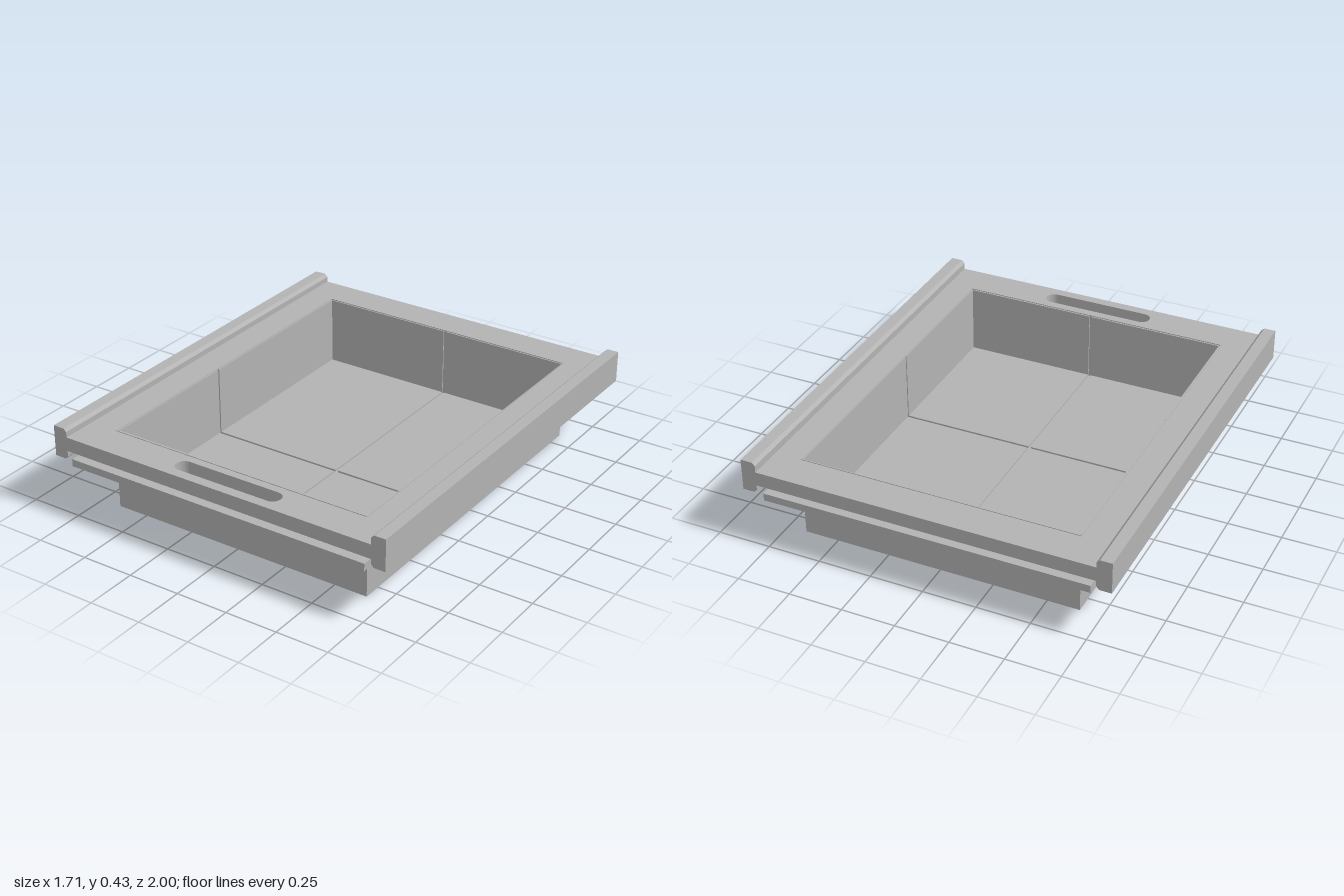
import * as THREE from 'three';

export function createModel() {
  const group = new THREE.Group();
  const grey = new THREE.MeshStandardMaterial({ color: 0xb3b3b3 });
  grey.name = 'plain grey';

  const add = (name, geometry) => {
    const mesh = new THREE.Mesh(geometry, grey);
    mesh.name = name;
    group.add(mesh);
  };
  const box = (name, x0, x1, y0, y1, z0, z1) => {
    const g = new THREE.BoxGeometry(x1 - x0, y1 - y0, z1 - z0);
    g.translate((x0 + x1) / 2, (y0 + y1) / 2, (z0 + z1) / 2);
    add(name, g);
  };
  const rect = (Path, x0, x1, z0, z1) => new Path([
    [x0, z0], [x0, z1], [x1, z1], [x1, z0],
  ].map(([x, z]) => new THREE.Vector2(x, -z)));
  // Horizontal slab with holes, from y0 to y1
  const slab = (name, shape, holes, y0, y1) => {
    shape.holes.push(...holes);
    const g = new THREE.ExtrudeGeometry(shape, { depth: y1 - y0, bevelEnabled: false, curveSegments: 10 });
    g.rotateX(-Math.PI / 2);
    g.translate(0, y0, 0);
    add(name, g);
  };

  // Basin: outer shell limits and inner lining limits
  const ox0 = -0.65, ox1 = 0.66, oz0 = -0.835, oz1 = 0.835;
  const ix0 = -0.638, ix1 = 0.652, iz0 = -0.825, iz1 = 0.82;
  const sx = 0.018, sz = 0.112, gap = 0.006;
  const floorY = 0.05, rimY = 0.383;

  slab('basinShell', rect(THREE.Shape, ox0, ox1, oz0, oz1),
    [rect(THREE.Path, ix0 - 0.006, ix1 + 0.004, iz0 - 0.006, iz1 + 0.007)], 0, rimY);
  box('basinBottom', ix0 - 0.006, ix1 + 0.004, 0, floorY - 0.008, iz0 - 0.006, iz1 + 0.007);

  // Lining split into quarters by narrow grooves
  const spansX = [[ix0, sx - gap], [sx + gap, ix1]];
  const spansZ = [[iz0, sz - gap], [sz + gap, iz1]];
  for (const [x0, x1] of spansX) {
    for (const [z0, z1] of spansZ) box('floorPanel', x0, x1, floorY - 0.008, floorY, z0, z1);
    box('backWallPanel', x0, x1, floorY - 0.008, rimY - 0.004, iz0 - 0.006, iz0);
    box('frontWallPanel', x0, x1, floorY - 0.008, rimY - 0.004, iz1, iz1 + 0.007);
  }
  for (const [z0, z1] of spansZ) {
    box('rightWallPanel', ix0 - 0.006, ix0, floorY - 0.008, rimY - 0.004, z0, z1);
    box('leftWallPanel', ix1, ix1 + 0.004, floorY - 0.008, rimY - 0.004, z0, z1);
  }

  // Top plate with a rounded finger slot near the front
  const slot = new THREE.Path();
  const r = 0.04, slotZ = -0.913;
  slot.moveTo(-0.21, slotZ + r);
  slot.absarc(-0.21, slotZ, r, Math.PI / 2, Math.PI * 1.5, false);
  slot.absarc(0.25, slotZ, r, -Math.PI / 2, Math.PI / 2, false);
  slot.closePath();
  slab('topPlate', rect(THREE.Shape, -0.79, 0.79, -1, 1),
    [rect(THREE.Path, ox0, ox1, oz0, oz1), slot], 0.313, 0.38);

  // Lower flange below the top plate
  slab('lowerFlange', rect(THREE.Shape, -0.763, 0.755, -1, 1),
    [rect(THREE.Path, ox0, ox1, oz0, oz1)], 0.245, 0.28);

  // Side rails with chamfered inner edges
  for (const [name, side, y0, y1] of [['rightRail', -1, 0.272, 0.42], ['leftRail', 1, 0.276, 0.426]]) {
    const c = 0.014, xi = 0.786, xo = 0.855;
    const profile = new THREE.Shape([
      [xo, y0], [xo, y1], [xi + c, y1], [xi, y1 - c], [xi, y0 + c], [xi + c, y0],
    ].map(([x, y]) => new THREE.Vector2(side * x, y)));
    const g = new THREE.ExtrudeGeometry(profile, { depth: 2, bevelEnabled: false });
    g.translate(0, 0, -1);
    add(name, g);
  }

  return group;
}
